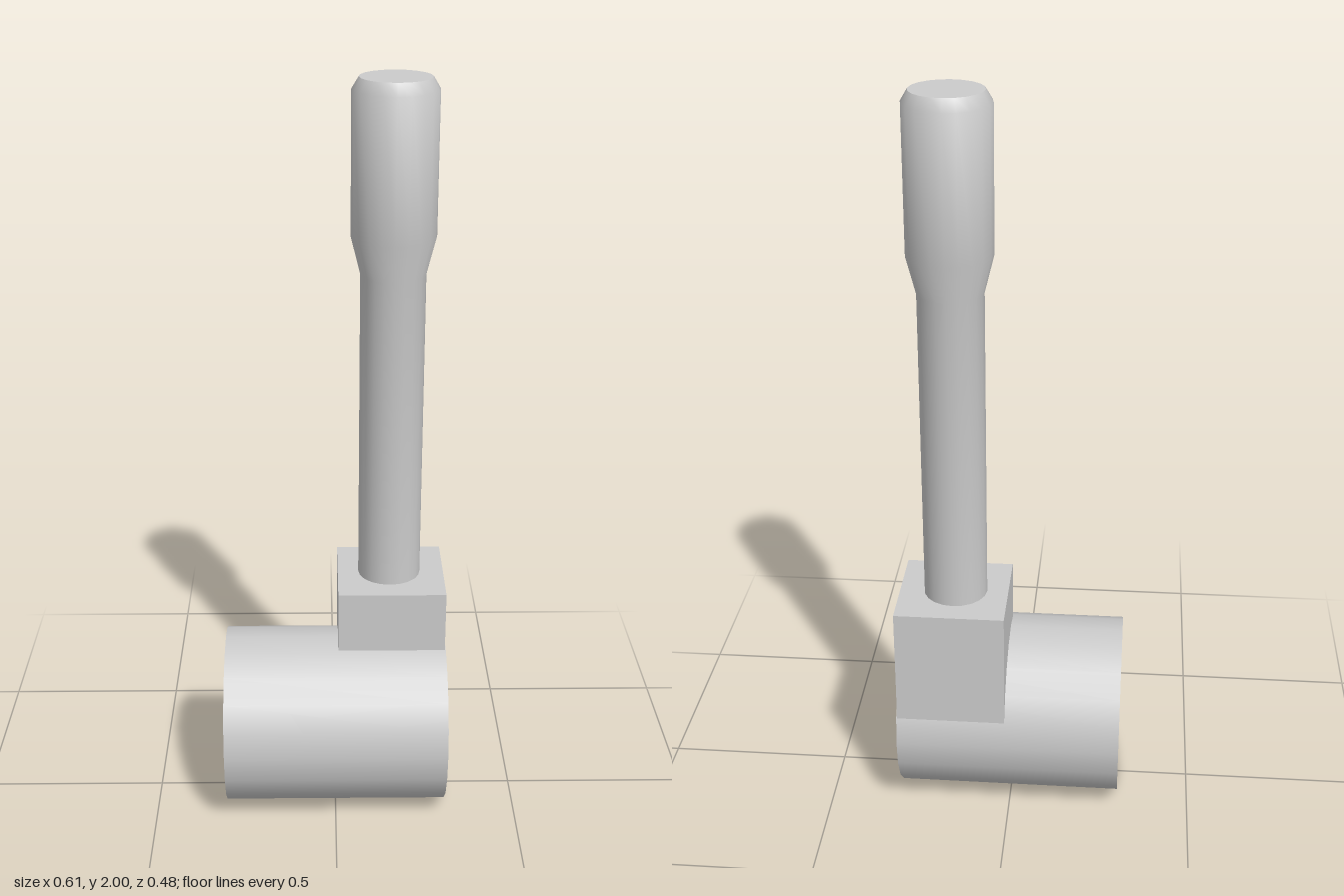
import * as THREE from 'three';
import { toCreasedNormals } from 'three/addons/utils/BufferGeometryUtils.js';

const SIDES = 20;

export function createModel() {
  const model = new THREE.Group();
  const material = new THREE.MeshStandardMaterial({ color: 0xcccccc });

  const add = (name, geometry, x, y, z) => {
    const mesh = new THREE.Mesh(geometry, material);
    mesh.name = name;
    mesh.position.set(x, y, z);
    model.add(mesh);
    return mesh;
  };

  // Horizontal drum lying along x
  const drum = new THREE.CylinderGeometry(0.242, 0.242, 0.605, SIDES);
  drum.rotateZ(Math.PI / 2);
  add('drum', drum, 0, 0.242, 0);

  // Square mounting block, sunk into the drum
  add('mountingBlock', new THREE.BoxGeometry(0.292, 0.345, 0.292), 0.154, 0.4725, -0.084);

  // Lever: slim shaft flaring into a thicker grip with a bevelled end
  const profile = [
    [0, 0.6], [0.085, 0.6], [0.085, 1.5], [0.11, 1.6],
    [0.11, 1.97], [0.092, 2], [0, 2],
  ].map(([r, y]) => new THREE.Vector2(r, y));
  const lever = toCreasedNormals(new THREE.LatheGeometry(profile, SIDES), 0.7);
  add('lever', lever, 0.15, 0, -0.084);

  return model;
}
